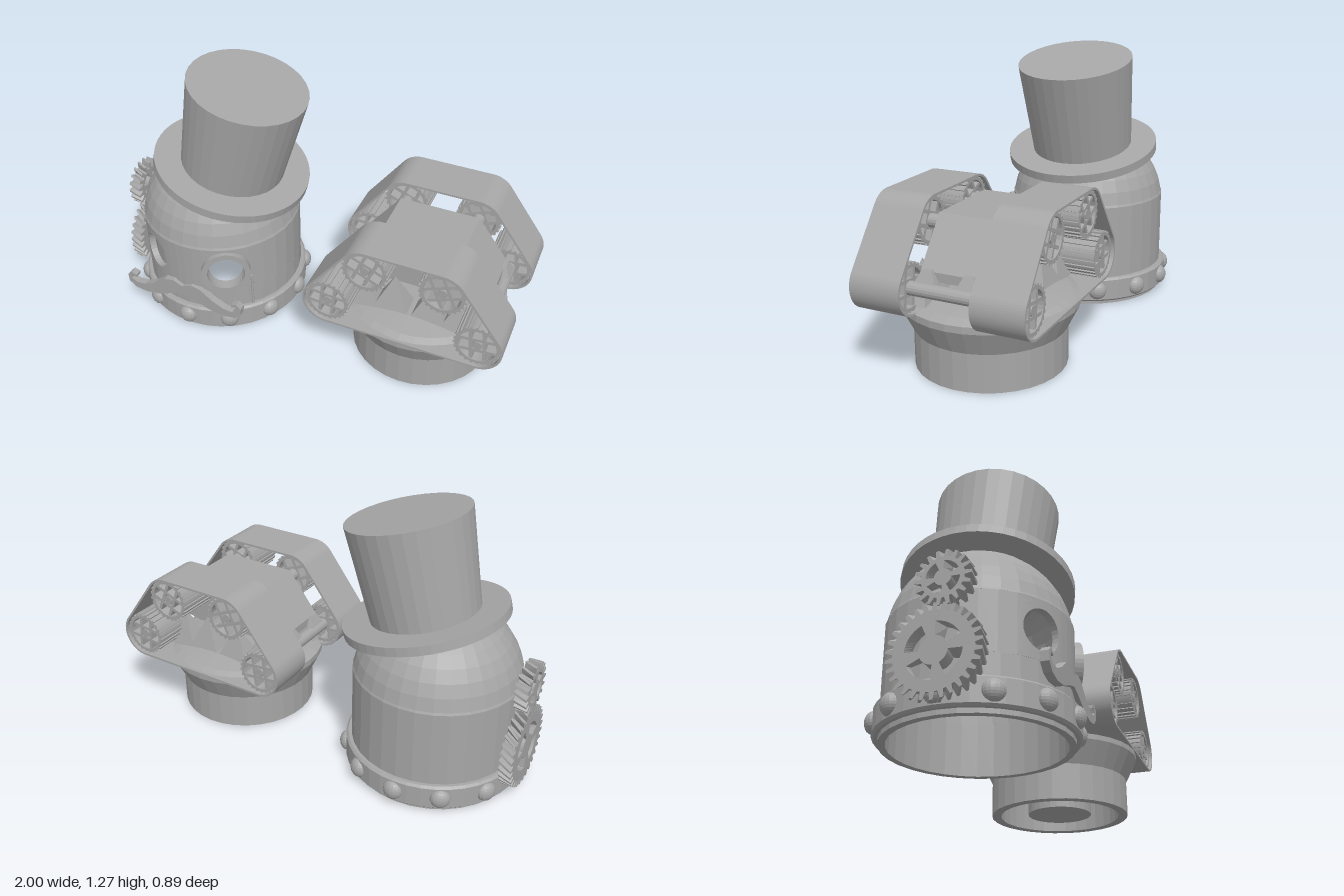
import * as THREE from 'three';

const grey = new THREE.MeshStandardMaterial({ color: 0xa6a6a6, flatShading: true });
grey.name = 'plain grey';
const V2 = (a) => a.map(([x, y]) => new THREE.Vector2(x, y));

function add(parent, name, geo, x = 0, y = 0, z = 0) {
  const m = new THREE.Mesh(geo, grey);
  m.name = name;
  m.position.set(x, y, z);
  parent.add(m);
  return m;
}
const lathe = (pts, seg = 32, start = 0, len = Math.PI * 2) => new THREE.LatheGeometry(V2(pts), seg, start, len);
const extrude = (shape, depth, curveSegments = 12) =>
  new THREE.ExtrudeGeometry(shape, { depth, bevelEnabled: false, curveSegments });
function ring(outer, inner) {
  const s = new THREE.Shape().absarc(0, 0, outer, 0, Math.PI * 2);
  s.holes.push(new THREE.Path().absarc(0, 0, inner, 0, Math.PI * 2, true));
  return s;
}

// ---- head ----
const R = 0.39, RI = 0.36, EYE_Y = 0.37, EYE_A = Math.PI / 6, HALF = 0.2945, HALF_Y = 0.13;

// curved square of wall with a round hole in it
function eyePatch(phi) {
  const N = 32, pos = [], idx = [];
  for (let i = 0; i < N; i++) {
    const a = (i / N) * Math.PI * 2, c = Math.cos(a), s = Math.sin(a);
    const k = 1 / Math.max(Math.abs(c), Math.abs(s));
    for (const [t, r] of [[0, R], [0.5, R], [1, R], [1, RI], [0.5, RI], [0, RI]]) {
      const p = phi + c * (0.233 + t * (HALF * k - 0.233));
      const y = EYE_Y + s * (0.09 + t * (HALF_Y * k - 0.09));
      pos.push(r * Math.sin(p), y, r * Math.cos(p));
    }
    for (let k2 = 0; k2 < 6; k2++) {
      const n = (k2 + 1) % 6, j = (i + 1) % N;
      const A = i * 6 + k2, B = i * 6 + n, C = j * 6 + n, D = j * 6 + k2;
      idx.push(A, B, C, A, C, D);
    }
  }
  const g = new THREE.BufferGeometry();
  g.setAttribute('position', new THREE.Float32BufferAttribute(pos, 3));
  g.setIndex(idx);
  g.computeVertexNormals();
  return g;
}

// helical gear with four windows, axis along x
function gearGeo(r, teeth, depth) {
  const s = new THREE.Shape(), step = (Math.PI * 2) / teeth, low = r - 0.03;
  for (let i = 0; i < teeth; i++) {
    [[0, low], [0.25, low], [0.4, r], [0.7, r], [0.9, low]].forEach(([f, q], j) => {
      const a = (i + f) * step;
      s[i || j ? 'lineTo' : 'moveTo'](q * Math.cos(a), q * Math.sin(a));
    });
  }
  for (let i = 0; i < 4; i++) {
    const a0 = i * Math.PI / 2 + 0.25, a1 = a0 + Math.PI / 2 - 0.5;
    s.holes.push(new THREE.Path().absarc(0, 0, r * 0.6, a0, a1, false).absarc(0, 0, r * 0.3, a1, a0, true));
  }
  const g = extrude(s, depth, 6), p = g.attributes.position;
  for (let i = 0; i < p.count; i++) {
    const a = p.getZ(i) * 3.5, x = p.getX(i), y = p.getY(i);
    p.setXY(i, x * Math.cos(a) - y * Math.sin(a), x * Math.sin(a) + y * Math.cos(a));
  }
  return g.translate(0, 0, -depth / 2).rotateY(-Math.PI / 2);
}

function moustacheShape() {
  const half = [[0, 0.25], [0.05, 0.272], [0.1, 0.262], [0.16, 0.215], [0.22, 0.185], [0.27, 0.18], [0.298, 0.2],
    [0.29, 0.22], [0.268, 0.212], [0.268, 0.228], [0.295, 0.238], [0.318, 0.215], [0.315, 0.175], [0.28, 0.145],
    [0.22, 0.136], [0.14, 0.148], [0.07, 0.178], [0, 0.2]];
  const other = half.slice(1, -1).reverse().map(([x, y]) => [-x, y]);
  return new THREE.Shape(V2([...half, ...other]));
}

function buildHead() {
  const head = new THREE.Group();
  head.name = 'head';
  head.position.x = -0.55;
  const y0 = EYE_Y - HALF_Y, y1 = EYE_Y + HALF_Y;
  const wall = (a, b) => [[R, a], [R, b], [RI, b], [RI, a], [R, a]];
  add(head, 'lowerWall', lathe(wall(0, y0)));
  add(head, 'noseWall', lathe(wall(y0, y1), 4, -(EYE_A - HALF), 2 * (EYE_A - HALF)));
  add(head, 'backWall', lathe(wall(y0, y1), 24, EYE_A + HALF, 2 * (Math.PI - EYE_A - HALF)));
  for (const s of [-1, 1]) add(head, 'eyeWall', eyePatch(s * EYE_A));

  // rounded dome, hollow inside
  const arc = (r) => Array.from({ length: 11 }, (_, i) => {
    const a = (i / 10) * Math.PI / 2;
    return [Math.max(r * Math.cos(a), 0), 0.45 + r * Math.sin(a)];
  }).filter((p) => p[1] > y1);
  add(head, 'dome', lathe([[R, y1], ...arc(R), ...arc(RI).reverse(), [RI, y1]]));

  // riveted collar
  add(head, 'collar', lathe([[0.37, 0.02], [0.405, 0.02], [0.415, 0.03], [0.415, 0.13], [0.405, 0.14], [0.37, 0.14]], 40));
  for (let i = 0; i < 12; i++) {
    const a = (i * Math.PI) / 6;
    const rivet = add(head, 'rivet', new THREE.SphereGeometry(0.046, 16, 12), 0.41 * Math.sin(a), 0.08, 0.41 * Math.cos(a));
    rivet.rotation.y = a;
    rivet.scale.z = 0.75;
  }

  // monocle with cord
  const mono = add(head, 'monocle', extrude(ring(0.117, 0.09), 0.055, 20),
    0.355 * Math.sin(EYE_A), EYE_Y, 0.355 * Math.cos(EYE_A));
  mono.rotation.y = EYE_A;
  add(head, 'monocleCord', new THREE.CylinderGeometry(0.006, 0.006, 0.2, 8), 0.292, 0.22, 0.265);
  add(head, 'moustache', extrude(moustacheShape(), 0.035), -0.02, 0, 0.37);

  // side gears
  for (const [r, teeth, y, z] of [[0.193, 30, 0.227, 0.005], [0.118, 18, 0.523, 0.03]]) {
    add(head, 'gear', gearGeo(r, teeth, 0.058), -0.421, y, z);
    add(head, 'gearAxle', new THREE.CylinderGeometry(0.025, 0.025, 0.09, 12).rotateZ(Math.PI / 2), -0.405, y, z);
  }

  // tilted top hat
  const hat = new THREE.Group();
  hat.name = 'hat';
  hat.position.set(0.075, 0.745, 0);
  hat.rotation.z = -0.237;
  add(hat, 'brim', new THREE.CylinderGeometry(0.378, 0.378, 0.042, 48));
  add(hat, 'crown', new THREE.CylinderGeometry(0.283, 0.25, 0.473, 32), 0, 0.2365, 0);
  head.add(hat);
  return head;
}

// ---- tracked unit ----
const WHEELS = [[0.35, 0.42], [0.175, 0.655], [-0.175, 0.655], [-0.35, 0.42]];
const TILT = Math.atan2(0.175, 0.235);

function beltPath(path, r) {
  const a = [-Math.PI / 2, TILT, Math.PI / 2, Math.PI - TILT, Math.PI * 1.5];
  WHEELS.forEach(([x, y], i) => path.absarc(x, y, r, a[i], a[i + 1], false));
  return path;
}

function buildWheel(turn) {
  const w = new THREE.Group();
  w.name = 'wheel';
  w.rotation.z = turn;
  add(w, 'rim', extrude(ring(0.1, 0.085), 0.2, 16), 0, 0, -0.1);
  add(w, 'disc', new THREE.CylinderGeometry(0.088, 0.088, 0.05, 24).rotateX(Math.PI / 2));
  for (const f of [-1, 1]) {
    for (const o of [-0.03, 0.03]) {
      const len = 2 * Math.sqrt(0.088 ** 2 - o * o);
      add(w, 'grilleBar', new THREE.BoxGeometry(len, 0.015, 0.05), 0, o, f * 0.07);
      add(w, 'grilleBar', new THREE.BoxGeometry(0.015, len, 0.05), o, 0, f * 0.07);
    }
    add(w, 'hub', new THREE.CylinderGeometry(0.022, 0.022, 0.075, 12).rotateX(Math.PI / 2), 0, 0, f * 0.06);
  }
  for (let i = 0; i < 24; i++) {
    const a = (i * Math.PI) / 12;
    add(w, 'cog', new THREE.BoxGeometry(0.012, 0.012, 0.2), 0.101 * Math.cos(a), 0.101 * Math.sin(a), 0).rotation.z = a;
  }
  return w;
}

function buildTracks() {
  const unit = new THREE.Group();
  unit.name = 'trackedUnit';
  unit.position.x = 0.535;

  // hollow flared base with central post
  add(unit, 'base', lathe([[0, 0.2], [0.29, 0.2], [0.29, 0], [0.335, 0], [0.335, 0.17], [0.39, 0.28],
    [0.39, 0.31], [0.35, 0.33], [0.25, 0.35], [0, 0.355]]));
  add(unit, 'post', new THREE.CylinderGeometry(0.155, 0.155, 0.22, 32), 0, 0.12, 0);

  // body block between the tracks
  const body = new THREE.Shape(V2([[0.34, 0.46], [0.34, 0.5], [0.19, 0.7], [-0.19, 0.7], [-0.34, 0.5], [-0.34, 0.46],
    [-0.2, 0.43], [0.2, 0.43]]));
  add(unit, 'body', extrude(body, 0.26), 0, 0, -0.13);

  for (const s of [-1, 1]) {
    const belt = beltPath(new THREE.Shape(), 0.115);
    belt.holes.push(beltPath(new THREE.Path(), 0.105));
    add(unit, 'belt', extrude(belt, 0.235), 0, 0, s * 0.2745 - 0.1175);
    WHEELS.forEach(([x, y], i) => {
      const wheel = buildWheel([0.1, 0.4, -0.4, -0.1][i]);
      wheel.position.set(x, y, s * 0.275);
      unit.add(wheel);
    });
    // row of pointed teeth
    for (const x of [-0.235, -0.09, 0.09, 0.235]) {
      const tooth = new THREE.ConeGeometry(0.127, 0.18, 4).rotateY(Math.PI / 4);
      add(unit, 'tooth', tooth, x, 0.42, s * 0.19).scale.set(1, 1, 0.7);
    }
    for (const e of [-1, 1]) {
      const lug = new THREE.CylinderGeometry(0.03, 0.065, 0.05, 4).rotateY(Math.PI / 4);
      add(unit, 'lug', lug, e * 0.33, 0.485, s * 0.095);
    }
  }
  for (const [x, y] of WHEELS) {
    add(unit, 'axle', new THREE.CylinderGeometry(0.03, 0.03, 0.6, 16).rotateX(Math.PI / 2), x, y, 0);
  }
  return unit;
}

export function createModel() {
  const model = new THREE.Group();
  model.name = 'headAndTracks';
  model.add(buildHead(), buildTracks());
  return model;
}
